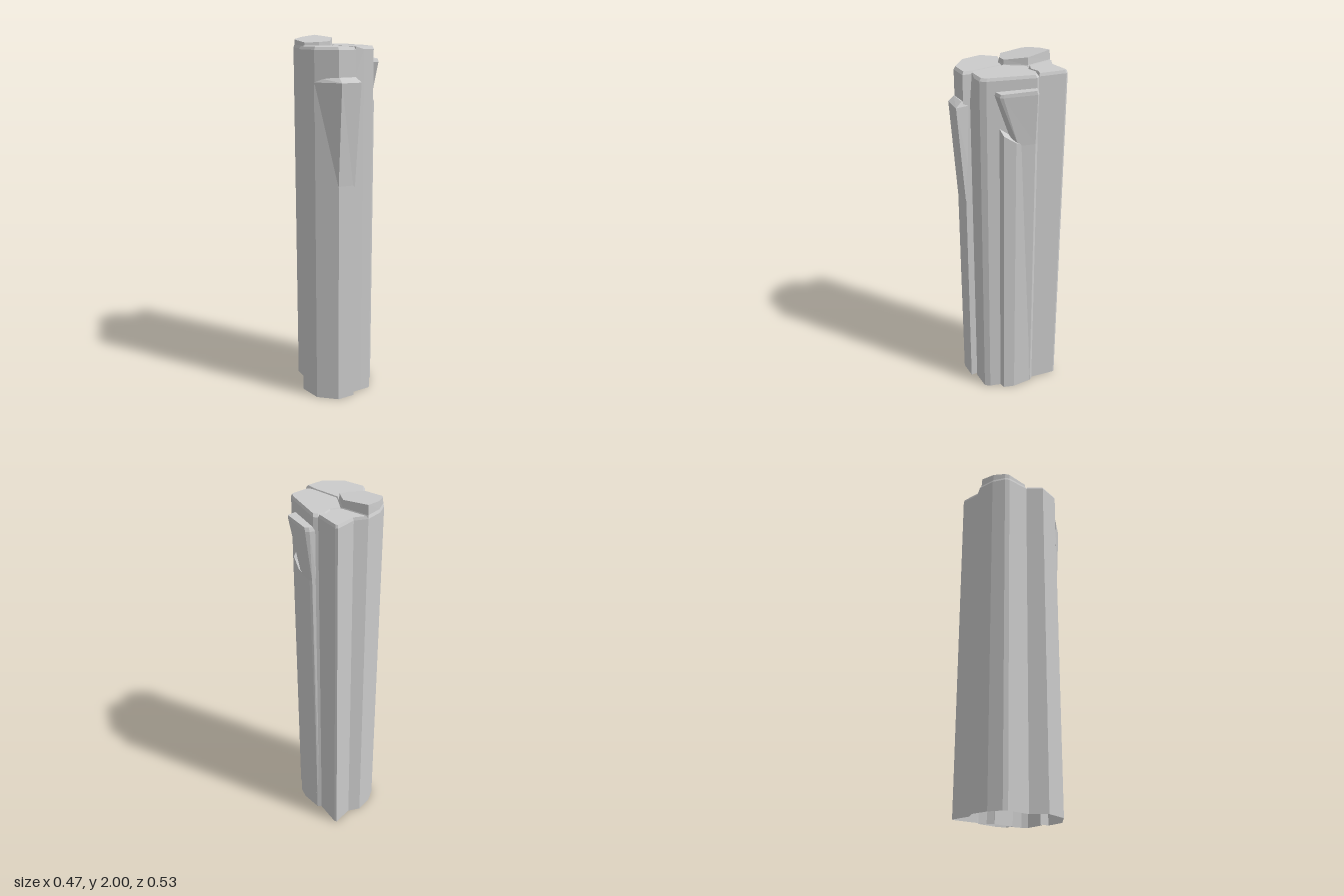
import * as THREE from 'three';

const material = new THREE.MeshStandardMaterial({
  color: 0xcccccc, flatShading: true, side: THREE.DoubleSide,
});

// Skins a stack of equal-length rings (clockwise from above, lowest first).
function loft(name, rings, capped = true) {
  const pos = [];
  const tri = (a, b, c) => pos.push(...a, ...b, ...c);
  const n = rings[0].length;
  for (let k = 0; k < rings.length - 1; k++) {
    for (let i = 0; i < n; i++) {
      const j = (i + 1) % n;
      const lo = rings[k], hi = rings[k + 1];
      tri(lo[i], hi[i], hi[j]);
      tri(lo[i], hi[j], lo[j]);
    }
  }
  if (capped) {
    const top = rings[rings.length - 1];
    const c = centre(top);
    top.forEach((a, i) => tri(c, top[(i + 1) % n], a));
  }
  const geometry = new THREE.BufferGeometry();
  geometry.setAttribute('position', new THREE.Float32BufferAttribute(pos, 3));
  geometry.computeVertexNormals();
  const mesh = new THREE.Mesh(geometry, material);
  mesh.name = name;
  return mesh;
}

const centre = (ring) => [0, 1, 2].map((k) => ring.reduce((s, p) => s + p[k], 0) / ring.length);

// Shrinks a ring toward its middle and lifts it to height(x, z).
function inset(ring, scale, height) {
  const c = centre(ring);
  return ring.map((p) => {
    const x = c[0] + (p[0] - c[0]) * scale, z = c[2] + (p[2] - c[2]) * scale;
    return [x, height(x, z), z];
  });
}

const atHeight = (points, y) => points.map(([x, z]) => [x, y, z]);

export function createModel() {
  const group = new THREE.Group();
  group.name = 'rockColumn';

  // Outer contour of the column cluster, at the shoulder
  const rim = atHeight([
    [-0.16, -0.075], [-0.142, -0.205], [-0.125, -0.225], [-0.055, -0.258], [0.04, -0.265],
    [0.1, -0.227], [0.215, -0.232], [0.22, -0.22], [0.185, -0.08], [0.2, -0.06],
    [0.108, 0.175], [0.085, 0.2], [0.03, 0.195], [-0.02, 0.19], [-0.03, 0.165],
    [-0.04, 0.218], [-0.14, 0.208], [-0.225, 0.115], [-0.235, -0.01],
  ], 1.935);
  rim[13][1] = 1.8; // chipped front corner

  // Joints between the columns
  const [p, q, r, m1, m2] = atHeight(
    [[0.055, -0.11], [-0.03, -0.01], [-0.095, -0.025], [0.1, -0.085], [0.15, -0.095]], 1.935);

  // Open-bottomed walls
  group.add(loft('columnWalls', [rim.map(([x, , z]) => [x, 0, z]), rim], false));

  // Bevelled column tops
  const flat = () => 1.95;
  const tops = {
    rightBackTop: [...rim.slice(4, 9), m2, m1, p],
    frontTop: [...rim.slice(8, 15), q, p, m1, m2],
    leftTop: [...rim.slice(14), rim[0], r, q],
  };
  for (const [name, ring] of Object.entries(tops)) {
    group.add(loft(name, [ring, inset(ring, 0.93, flat)]));
  }

  // Tallest column, with a slanted top
  const back = [...rim.slice(0, 5), p, q, r];
  const slant = (x, z) => 1.985 + 0.1 * x - 0.09 * (z + 0.13);
  group.add(loft('backTop', [back, inset(back, 0.95, flat), inset(back, 0.93, slant)]));

  // Slab swelling out of the left column
  group.add(loft('frontSlab', [
    atHeight([[-0.037, 0.15], [-0.042, 0.214], [-0.14, 0.204], [-0.222, 0.113], [-0.15, 0.11]], 1.18),
    atHeight([[-0.034, 0.16], [-0.037, 0.262], [-0.145, 0.243], [-0.227, 0.112], [-0.15, 0.11]], 1.775),
    atHeight([[-0.037, 0.16], [-0.045, 0.225], [-0.14, 0.212], [-0.215, 0.11], [-0.15, 0.11]], 1.8),
  ]));

  // Long side splinter with a broken top
  const splinter = [[0.2, -0.05], [0.195, 0], [0.19, 0.055], [0.165, 0.112], [0.12, 0.117], [0.14, 0]];
  const brokenTop = [1.5, 1.6, 1.62, 1.66, 1.7, 1.68];
  group.add(loft('sideSplinter', [
    atHeight(splinter, 0),
    atHeight(splinter, 0.02),
    splinter.map(([x, z], i) => [x, brokenTop[i], z * (i < 2 ? 0.6 : 1)]),
  ]));

  // Overhanging side chunk that thins out downward
  const chunkTop = atHeight(
    [[0.19, -0.07], [0.22, -0.057], [0.234, -0.04], [0.18, 0.125], [0.17, 0.14], [0.11, 0.138]], 1.865);
  group.add(loft('sideChunk', [
    atHeight([[0.19, -0.07], [0.2, -0.06], [0.2, -0.055], [0.19, -0.04], [0.18, -0.03], [0.17, -0.03]], 0),
    atHeight([[0.19, -0.07], [0.21, -0.058], [0.215, -0.045], [0.188, 0.04], [0.165, 0.055], [0.14, 0.05]], 1.6),
    chunkTop,
    inset(chunkTop, 0.94, (x, z) => 1.885 - 0.08 * Math.max(0, z - 0.08)),
  ]));

  return group;
}
